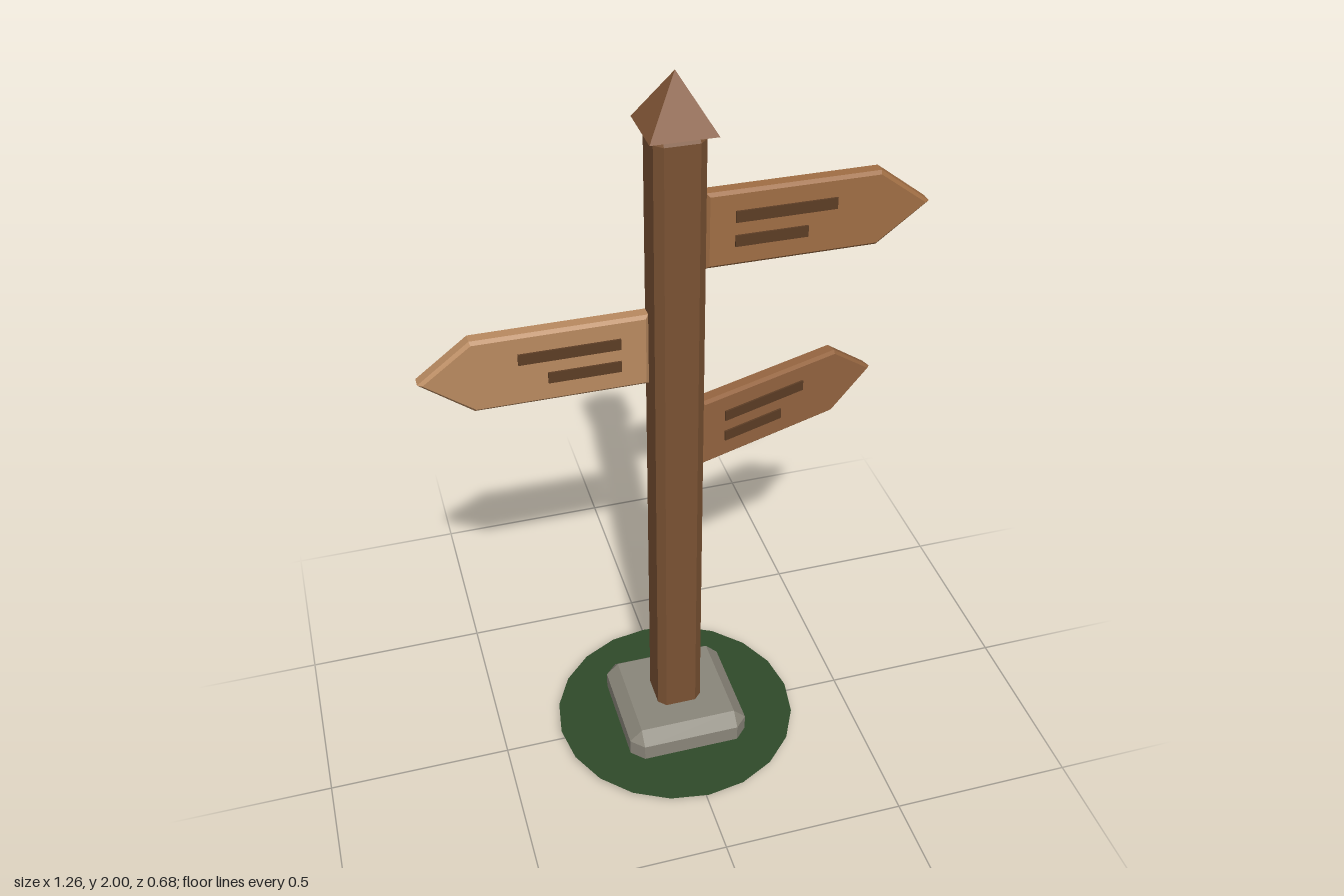
import * as THREE from 'three';
import { ConvexGeometry } from 'three/addons/geometries/ConvexGeometry.js';

const paint = (color, side = THREE.FrontSide) =>
  new THREE.MeshStandardMaterial({ color, side, flatShading: true });

function add(parent, name, geometry, material) {
  const mesh = new THREE.Mesh(geometry, material);
  mesh.name = name;
  parent.add(mesh);
  return mesh;
}

// Box with every edge and corner cut off by c
function chamferedBox(w, h, d, c) {
  const points = [];
  for (const sx of [-1, 1]) for (const sy of [-1, 1]) for (const sz of [-1, 1]) {
    const x = w / 2, y = h / 2, z = d / 2;
    points.push(
      new THREE.Vector3(sx * x, sy * (y - c), sz * (z - c)),
      new THREE.Vector3(sx * (x - c), sy * y, sz * (z - c)),
      new THREE.Vector3(sx * (x - c), sy * (y - c), sz * z));
  }
  return new ConvexGeometry(points);
}

// Pointed board reaching out along +x, with a bevelled rim
function boardGeometry() {
  const bevel = 0.008;
  const shape = new THREE.Shape([
    [0.078, -0.09], [0.497, -0.09], [0.617, 0], [0.497, 0.09], [0.078, 0.09],
  ].map(([x, y]) => new THREE.Vector2(x, y)));
  const geometry = new THREE.ExtrudeGeometry(shape, {
    depth: 0.028, bevelEnabled: true, bevelSize: bevel, bevelThickness: bevel, bevelSegments: 1,
  });
  return geometry.translate(0, 0, -0.014);
}

export function createModel() {
  const model = new THREE.Group();
  model.name = 'signpost';

  // Ground patch and footing
  const grass = add(model, 'grassPatch', new THREE.CircleGeometry(0.34, 20), paint(0x2f4a2a, THREE.DoubleSide));
  grass.rotation.x = -Math.PI / 2;
  grass.position.y = 0.03;
  add(model, 'stoneBase', chamferedBox(0.34, 0.115, 0.34, 0.034), paint(0x8a867a)).position.y = 0.0575;

  // Post and pyramid cap
  add(model, 'post', chamferedBox(0.125, 1.79, 0.125, 0.02), paint(0x7a5233)).position.y = 0.975;
  const cap = add(model, 'postCap', new THREE.ConeGeometry(0.08 * Math.SQRT2, 0.132, 4), paint(0x845837));
  cap.rotation.y = Math.PI / 4;
  cap.geometry.rotateY(0);
  cap.position.y = 1.934;

  // Three boards turned about the post axis
  const board = boardGeometry();
  const lineMaterial = paint(0x5c3d25);
  const signs = [
    ['upperSign', 1.603, 0, 0xa06e44],
    ['middleSign', 1.305, Math.PI, 0xb98a60],
    ['lowerSign', 1.008, Math.PI / 10, 0x956540],
  ];
  for (const [name, y, turn, color] of signs) {
    const sign = new THREE.Group();
    sign.name = name;
    sign.position.y = y;
    sign.rotation.y = turn;
    add(sign, 'board', board, paint(color));
    // Raised strips showing on both faces
    for (const [length, height] of [[0.25, 0.033], [0.18, -0.03]]) {
      add(sign, 'strip', new THREE.BoxGeometry(length, 0.029, 0.054), lineMaterial)
        .position.set(0.14 + length / 2, height, 0);
    }
    model.add(sign);
  }
  return model;
}
